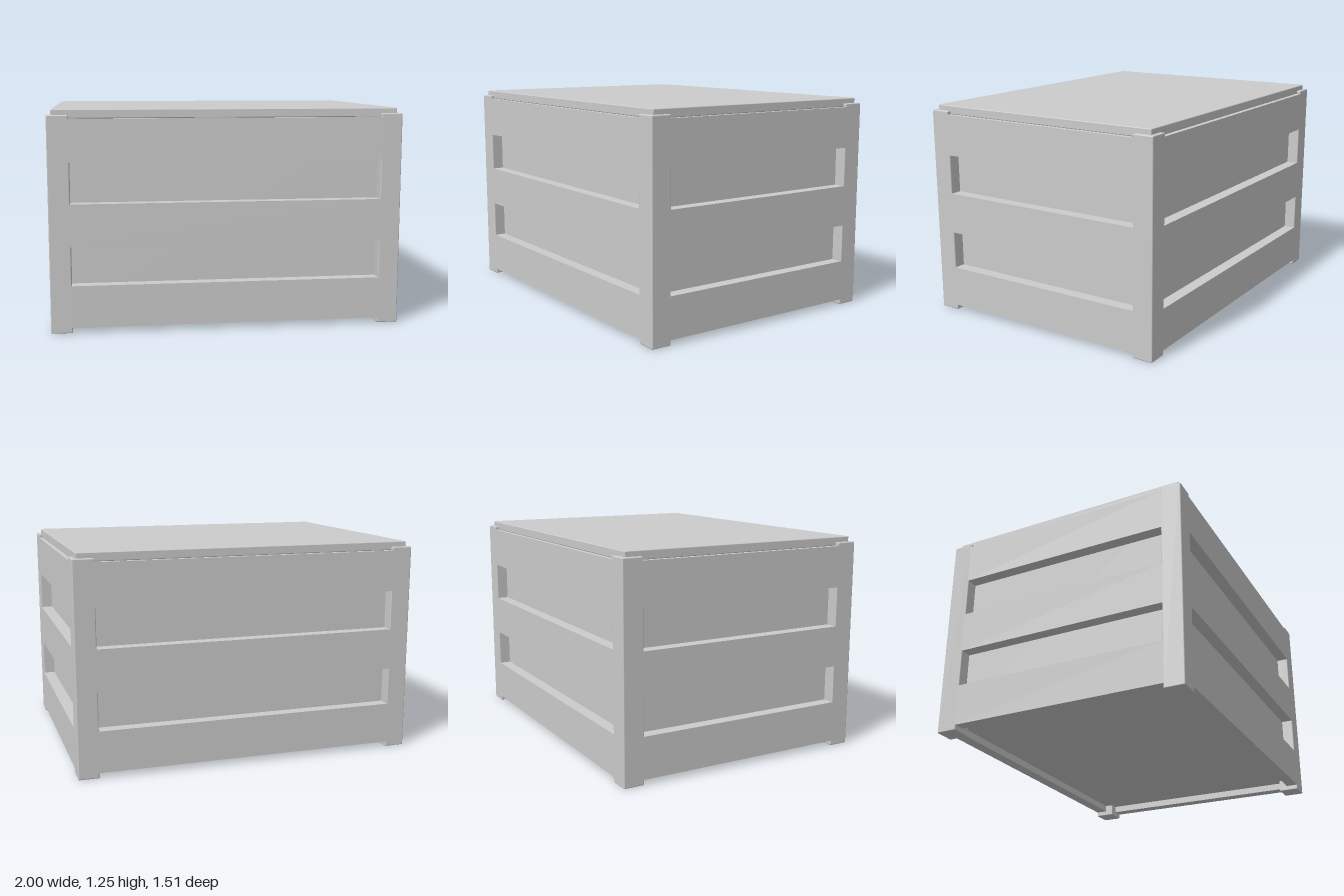
import * as THREE from 'three';
import { RoundedBoxGeometry } from 'three/addons/geometries/RoundedBoxGeometry.js';

const HALF_X = 1, HALF_Z = 0.755;   // outer footprint
const POST = 0.12;                  // corner post thickness
const RAIL = 0.07;                  // rail thickness, also the panel recess
const POST_TOP = 1.22, LID_BOTTOM = 1.2, LID_TOP = 1.25;

export function createModel() {
  const model = new THREE.Group();
  model.name = 'crate';
  const material = new THREE.MeshStandardMaterial({ color: 0xcccccc });

  function add(name, geometry, x, y, z) {
    const mesh = new THREE.Mesh(geometry, material);
    mesh.name = name;
    mesh.position.set(x, y, z);
    model.add(mesh);
  }

  // Recessed panels and raised floor
  const floorY = 0.07;
  add('innerPanels',
    new THREE.BoxGeometry(2 * (HALF_X - RAIL), LID_BOTTOM - floorY, 2 * (HALF_Z - RAIL)),
    0, (LID_BOTTOM + floorY) / 2, 0);

  // Corner posts, standing proud of the rails at top and bottom
  const postGeometry = new RoundedBoxGeometry(POST, POST_TOP, POST, 2, 0.006);
  for (const sx of [-1, 1]) for (const sz of [-1, 1]) {
    const name = (sz > 0 ? 'front' : 'back') + (sx > 0 ? 'Left' : 'Right') + 'Post';
    add(name, postGeometry, sx * (HALF_X - POST / 2), POST_TOP / 2, sz * (HALF_Z - POST / 2));
  }

  // Horizontal rails, set slightly into the posts
  const rails = [['lower', 0.03, 0.27], ['middle', 0.49, 0.73], ['upper', 0.96, LID_BOTTOM]];
  const lengthX = 2 * (HALF_X - POST) + 0.02;
  const lengthZ = 2 * (HALF_Z - POST) + 0.02;
  for (const [level, bottom, top] of rails) {
    const height = top - bottom, y = (top + bottom) / 2;
    const longRail = new THREE.BoxGeometry(lengthX, height, RAIL);
    const shortRail = new THREE.BoxGeometry(RAIL, height, lengthZ);
    for (const s of [-1, 1]) {
      add(level + (s > 0 ? 'Front' : 'Back') + 'Rail', longRail, 0, y, s * (HALF_Z - RAIL / 2));
      add(level + (s > 0 ? 'Left' : 'Right') + 'Rail', shortRail, s * (HALF_X - RAIL / 2), y, 0);
    }
  }

  // Lid resting inside the post tips
  add('lid', new RoundedBoxGeometry(1.95, LID_TOP - LID_BOTTOM, 1.46, 2, 0.005),
    0, (LID_TOP + LID_BOTTOM) / 2, 0);

  return model;
}
